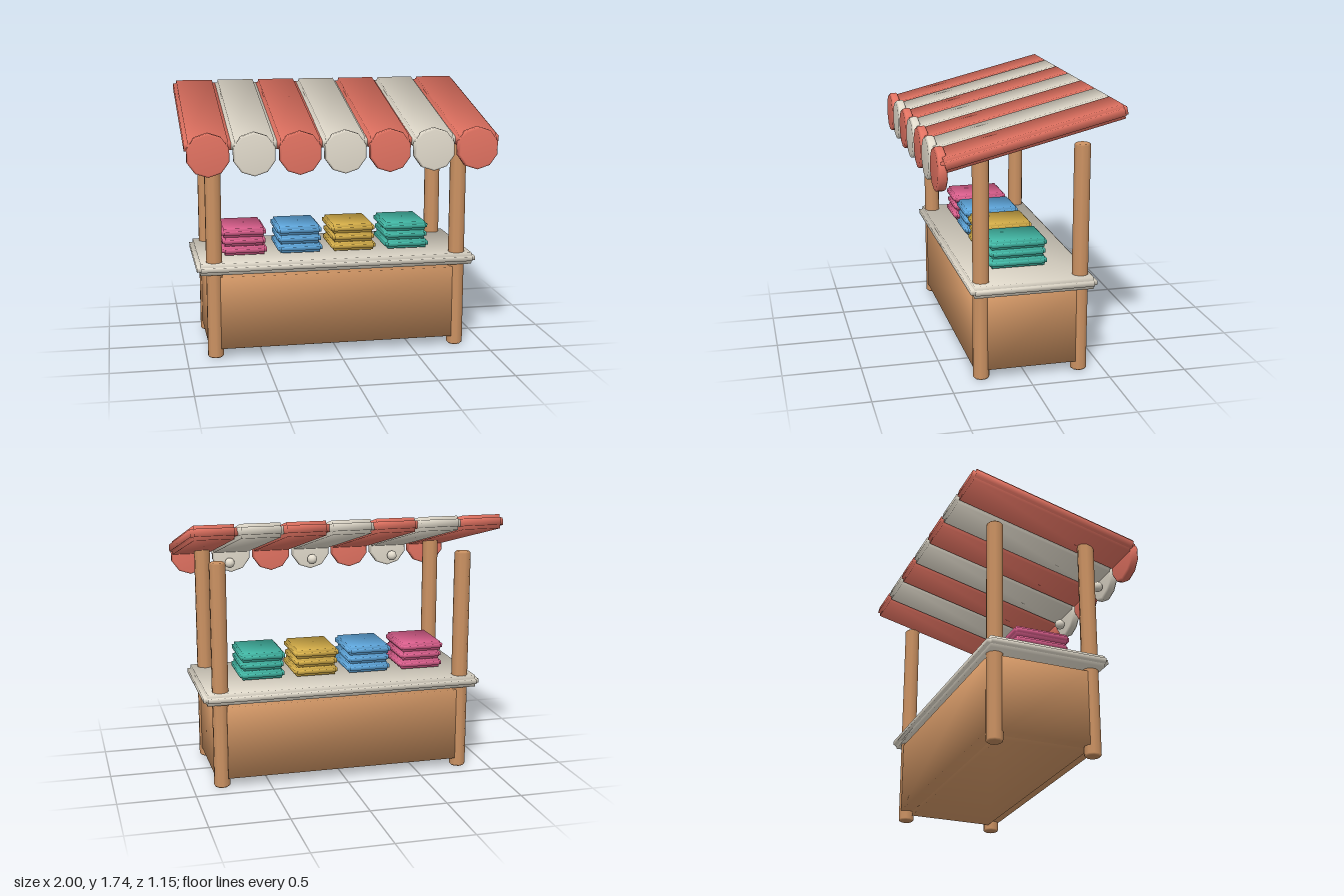
import * as THREE from 'three';
import { mergeGeometries } from 'three/addons/utils/BufferGeometryUtils.js';

const mat = (name, color) => new THREE.MeshStandardMaterial({ name, color });

// Box with stepped edges: three crossed boxes, each full size along one axis and
// inset by bx, by, bz along the others, with smooth normals pointing out of the corners
function softBox(w, h, d, bx, by = bx, bz = bx) {
  const [iw, ih, id] = [w - 2 * bx, h - 2 * by, d - 2 * bz];
  const g = mergeGeometries([
    new THREE.BoxGeometry(w, ih, id),
    new THREE.BoxGeometry(iw, h, id),
    new THREE.BoxGeometry(iw, ih, d),
  ]);
  const { position, normal } = g.attributes;
  const s = 1 / Math.sqrt(3);
  for (let k = 0; k < position.count; k++) {
    normal.setXYZ(k, Math.sign(position.getX(k)) * s,
      Math.sign(position.getY(k)) * s, Math.sign(position.getZ(k)) * s);
  }
  return g;
}

// Ten-sided cylinder with chamfered rims and smooth normals
function softCylinder(r, h, b) {
  const y = h / 2;
  const profile = [[0, -y], [r - b, -y], [r, b - y], [r, y - b], [r - b, y], [0, y]];
  return new THREE.LatheGeometry(profile.map(p => new THREE.Vector2(...p)), 10);
}

export function createModel() {
  const root = new THREE.Group();
  root.name = 'marketStall';

  const wood = mat('wood', 0xcd9363);
  const cream = mat('cream', 0xe4ddce);
  const red = mat('coral red', 0xe57463);
  const cloths = [
    mat('pink', 0xe16291), mat('blue', 0x62ace3),
    mat('yellow', 0xdbb34b), mat('teal', 0x44bca9),
  ];

  const add = (name, geometry, material, x, y, z, parent = root) => {
    const m = new THREE.Mesh(geometry, material);
    m.name = name;
    m.position.set(x, y, z);
    parent.add(m);
    return m;
  };

  // Cabinet, whose corners are cut back around the posts, and counter top
  add('cabinet', softBox(1.7, 0.535, 0.73, 0.075, 0.027, 0.08), wood, 0, 0.302, -0.034);
  add('counterTop', softBox(1.85, 0.076, 0.802, 0.024), cream, 0, 0.6, -0.034);

  // Corner posts
  const post = softCylinder(0.053, 1.474, 0.01);
  for (const x of [-0.81, 0.81]) {
    add('frontPost', post, wood, x, 0.737, 0.285);
    add('backPost', post, wood, x, 0.737, -0.35);
  }

  // Stacks of folded cloth, the middle one slightly smaller
  const cloth = softBox(0.296, 0.058, 0.375, 0.017);
  const smallCloth = softBox(0.284, 0.058, 0.36, 0.017);
  [-0.6, -0.23, 0.131, 0.495].forEach((x, i) => {
    const stack = new THREE.Group();
    stack.name = 'clothStack';
    stack.position.x = x;
    root.add(stack);
    for (let k = 0; k < 3; k++) {
      add('foldedCloth', k === 1 ? smallCloth : cloth, cloths[i],
        0.003 - 0.003 * k, 0.677 + 0.06 * k, 0, stack);
    }
  });

  // Sloping striped awning with a scallop hanging from each stripe
  const stripe = softBox(0.288, 0.09, 1.158, 0.021);
  const scallop = softCylinder(0.137, 0.06, 0.012);
  for (let i = 0; i < 7; i++) {
    const x = (i - 3) * 0.2853;
    const colour = i % 2 ? cream : red;
    add('awningStripe', stripe, colour, x, 1.558, -0.008).rotation.x = 0.242;
    add('awningScallop', scallop, colour, x, 1.376, 0.546).rotation.x = Math.PI / 2;
  }

  // Round bulbs behind the scallops
  const bulb = new THREE.SphereGeometry(0.035, 12, 8);
  for (const x of [-0.59, 0, 0.59]) add('bulb', bulb, cream, x, 1.312, 0.48);

  return root;
}
